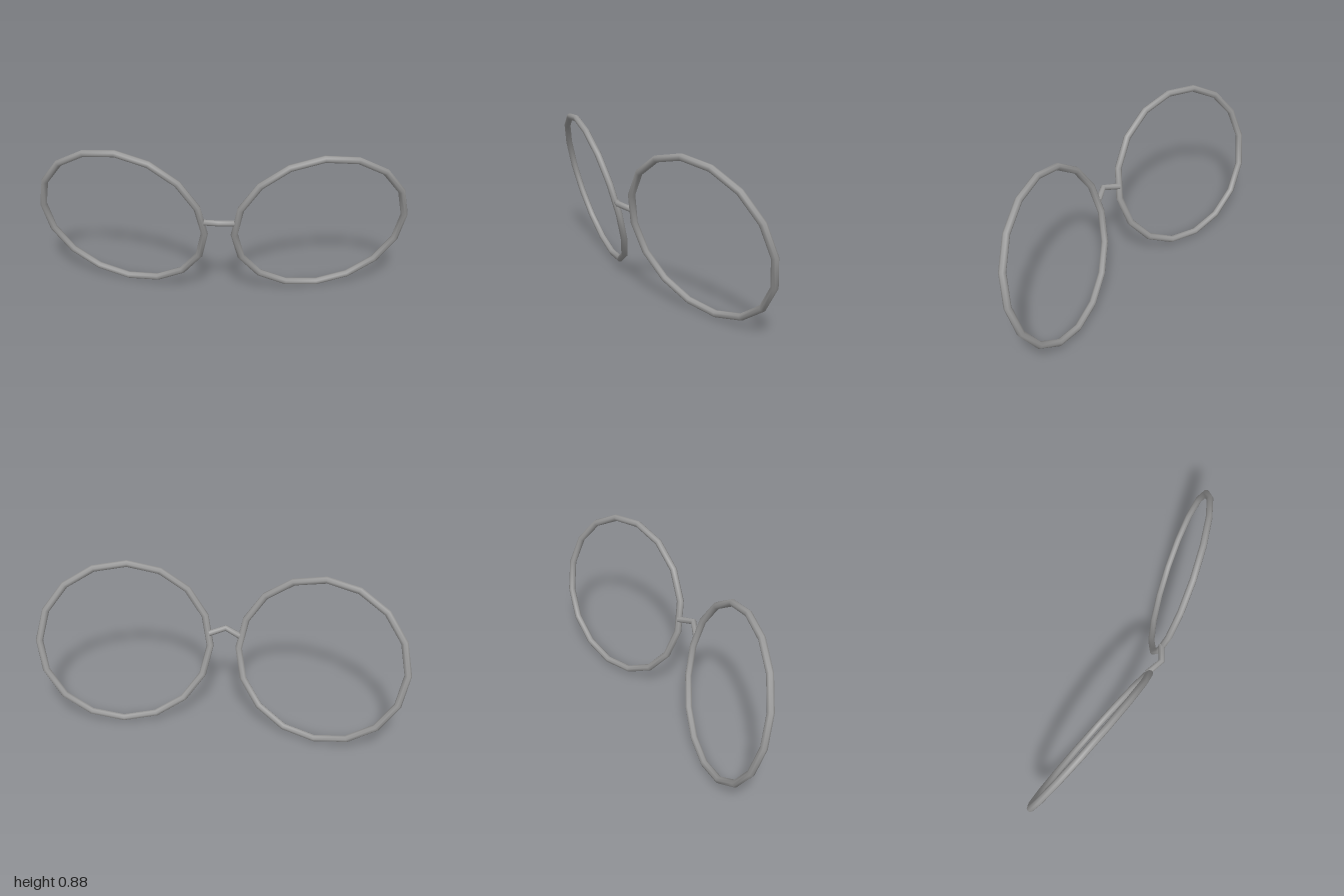
import * as THREE from 'three';

export function createModel() {
  const model = new THREE.Group();
  model.name = 'spectacleFrame';

  const metal = new THREE.MeshStandardMaterial({ color: 0x999999, side: THREE.DoubleSide });
  metal.name = 'greyMetal';

  // Lens rims: sixteen-sided hoops, slightly wide, leaning forward and swept back
  const rimShape = new THREE.TorusGeometry(0.437, 0.0185, 8, 16);
  rimShape.scale(1.06, 1, 1);
  for (const side of [1, -1]) {
    const rim = new THREE.Mesh(rimShape, metal);
    rim.name = side > 0 ? 'leftRim' : 'rightRim';
    rim.position.set(side * 0.531, 0.445, -0.002);
    rim.rotation.set(THREE.MathUtils.degToRad(14.8), side * THREE.MathUtils.degToRad(12.6), 0);
    model.add(rim);
  }

  // Nose bridge: one bend at the middle, ends sunk into the rims
  const bridgePath = new THREE.CatmullRomCurve3([
    new THREE.Vector3(-0.088, 0.488, 0.104),
    new THREE.Vector3(0, 0.507, 0.146),
    new THREE.Vector3(0.088, 0.488, 0.104),
  ]);
  const bridge = new THREE.Mesh(new THREE.TubeGeometry(bridgePath, 2, 0.0165, 8), metal);
  bridge.name = 'noseBridge';
  model.add(bridge);

  return model;
}
